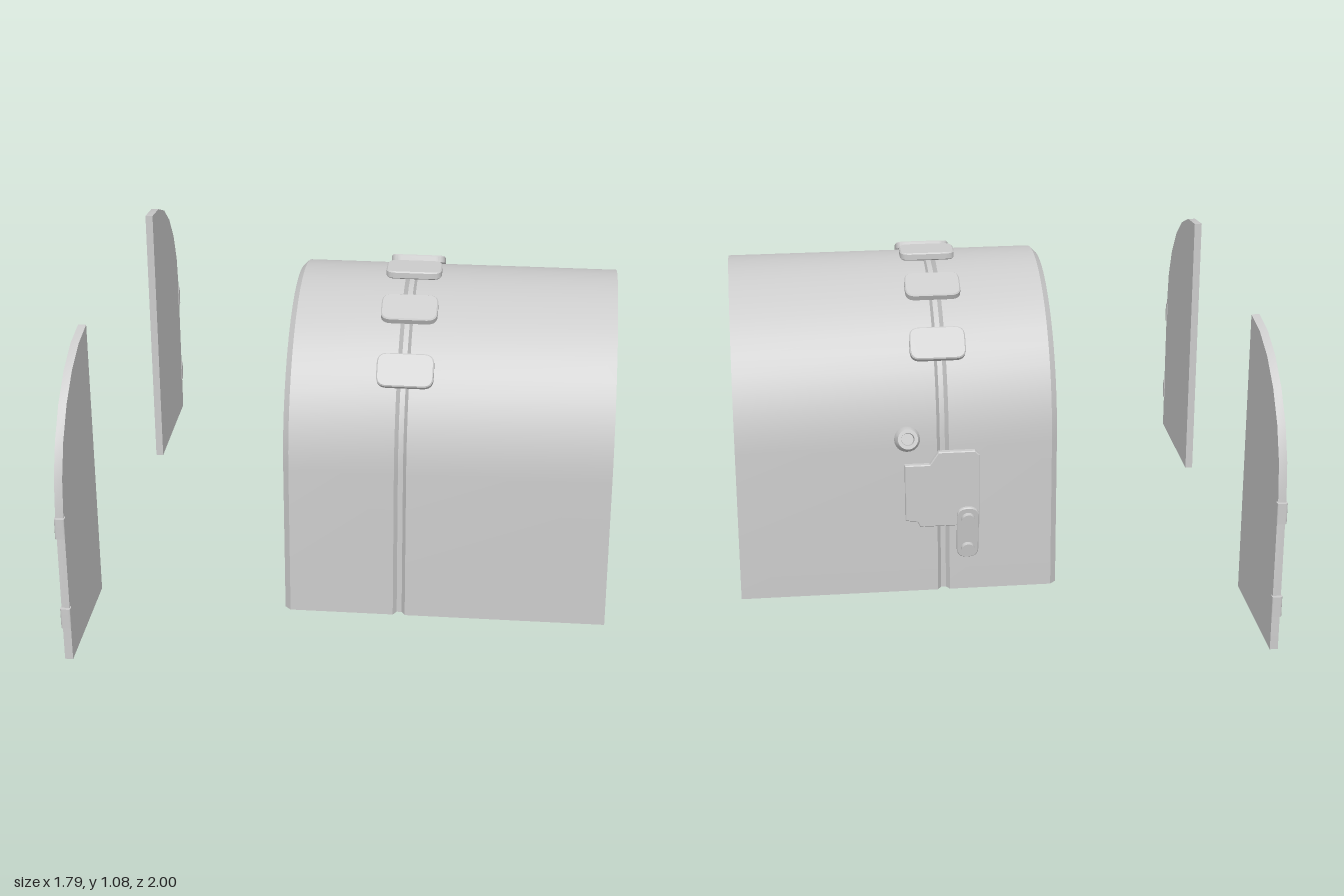
import * as THREE from 'three';
import { toCreasedNormals, mergeVertices } from 'three/addons/utils/BufferGeometryUtils.js';

const MAT = new THREE.MeshStandardMaterial({ color: 0xcccccc });
const THIN = new THREE.MeshStandardMaterial({ color: 0xcccccc, side: THREE.DoubleSide });
const CZ = 0.0875, CY = 0.5375, R = 0.5175; // arch centre and outer radius

function add(parent, name, geo, x = 0, y = 0, z = 0, mat = MAT) {
  const m = new THREE.Mesh(geo, mat);
  m.name = name;
  m.position.set(x, y, z);
  parent.add(m);
  return m;
}

function extrude(shape, depth, bevel = 0, curveSegments = 6) {
  const g = new THREE.ExtrudeGeometry(shape, {
    depth: depth - 2 * bevel, curveSegments, bevelEnabled: bevel > 0,
    bevelSize: bevel, bevelThickness: bevel, bevelOffset: -bevel, bevelSegments: 1,
  });
  g.translate(0, 0, bevel);
  return toCreasedNormals(g, 0.5);
}

function roundedRect(w, h, r) {
  const s = new THREE.Shape(), x = w / 2, y = h / 2;
  s.moveTo(-x + r, -y);
  s.lineTo(x - r, -y).quadraticCurveTo(x, -y, x, -y + r);
  s.lineTo(x, y - r).quadraticCurveTo(x, y, x - r, y);
  s.lineTo(-x + r, y).quadraticCurveTo(-x, y, -x, y - r);
  s.lineTo(-x, -y + r).quadraticCurveTo(-x, -y, -x + r, -y);
  return s;
}

// Sweeps an (x, radius) section up the front, over the arch and down the back
function archSweep(section, segments = 24) {
  const pos = [], idx = [], n = section.length;
  for (let i = 0; i <= segments + 2; i++) {
    const a = (Math.min(Math.max(i - 1, 0), segments) / segments) * Math.PI;
    const ground = i === 0 || i === segments + 2;
    for (const [x, r] of section)
      pos.push(x, ground ? 0 : CY + r * Math.sin(a), CZ + r * Math.cos(a));
  }
  for (let i = 0; i < segments + 2; i++)
    for (let j = 0; j < n; j++) {
      const a = i * n + j, b = i * n + (j + 1) % n;
      idx.push(a, b, b + n, a, b + n, a + n);
    }
  // feet of the arch
  const last = (segments + 2) * n;
  const tris = THREE.ShapeUtils.triangulateShape(section.map(p => new THREE.Vector2(...p)), []);
  for (const [a, b, c] of tris) idx.push(a, b, c, last + a, last + c, last + b);
  const g = new THREE.BufferGeometry();
  g.setAttribute('position', new THREE.Float32BufferAttribute(pos, 3));
  g.setIndex(idx);
  return toCreasedNormals(g, 0.4);
}

// Quarter-arch door leaf; side is +1 or -1 along z
function makeDoor(side, x0) {
  const door = new THREE.Group();
  door.name = side > 0 ? 'frontDoor' : 'backDoor';
  const t = 0.027, inner = 0.523, r = 0.465;
  const s = new THREE.Shape();
  s.moveTo(side * inner, 0);
  s.lineTo(side * (inner + r), 0);
  for (let i = 0; i <= 6; i++) {
    const a = (i / 6) * Math.PI / 2;
    s.lineTo(side * (inner + r * Math.cos(a)), 0.54 + r * Math.sin(a));
  }
  const leaf = extrude(s, t);
  leaf.rotateY(-Math.PI / 2);
  add(door, 'doorLeaf', leaf, x0 + t);
  // hinges on the outer edge
  for (const y of [0.16, 0.493]) {
    const hinge = extrude(roundedRect(0.034, 0.025, 0.008), 0.072);
    hinge.rotateX(-Math.PI / 2);
    add(door, 'hinge', hinge, x0 + t / 2, y - 0.036, side * 0.9875);
  }
  // round handle near the meeting edge
  const ring = new THREE.TorusGeometry(0.021, 0.006, 8, 20);
  ring.rotateY(Math.PI / 2);
  add(door, 'handleRing', ring, x0, 0.38, side * 0.615);
  const knob = new THREE.CylinderGeometry(0.012, 0.014, 0.01, 16);
  knob.rotateZ(Math.PI / 2);
  add(door, 'handleKnob', knob, x0 - 0.003, 0.38, side * 0.615);
  return door;
}

export function createModel() {
  const model = new THREE.Group();
  model.name = 'archedShelter';

  // Vaulted shell: bevelled open mouth, recessed seam, hollow underside
  const inner = R - 0.045;
  add(model, 'vault', archSweep([
    [-0.205, R - 0.02], [-0.185, R], [0.168, R], [0.18, R - 0.02],
    [0.197, R - 0.02], [0.209, R], [0.89, R], [0.89, inner], [-0.205, inner],
  ]), 0, 0, 0, THIN);

  // Closed end wall
  const wall = new THREE.Shape();
  wall.moveTo(CZ - inner, 0);
  wall.lineTo(CZ + inner, 0);
  wall.lineTo(CZ + inner, CY);
  wall.absarc(CZ, CY, inner, 0, Math.PI, false);
  const wallGeo = extrude(wall, 0.04, 0, 24);
  wallGeo.rotateY(-Math.PI / 2);
  add(model, 'endWall', wallGeo, 0.89);

  // Straps bridging the seam over the arch
  const strapGeo = extrude(roundedRect(0.19, 0.115, 0.035), 0.027, 0.004);
  strapGeo.rotateX(-Math.PI / 2);
  for (let i = -2; i <= 2; i++) {
    const a = i * 0.445;
    const strap = add(model, 'strap', strapGeo, 0.195,
      CY + (R - 0.001) * Math.cos(a), CZ + (R - 0.001) * Math.sin(a));
    strap.rotation.x = a;
  }

  // Lock plate on the back
  const back = CZ - R;
  const plate = new THREE.Shape();
  [[0.065, 0.25], [0.27, 0.25], [0.28, 0.27], [0.32, 0.275], [0.32, 0.48], [0.235, 0.48],
    [0.205, 0.525], [0.08, 0.525], [0.065, 0.51]]
    .forEach(([x, y], i) => (i ? plate.lineTo(x, y) : plate.moveTo(x, y)));
  add(model, 'lockPlate', extrude(plate, 0.022, 0.003), 0, 0, back - 0.019);

  // Tilted latch bar with two rivets
  const latch = new THREE.Group();
  latch.name = 'latch';
  latch.position.set(0.108, 0.23, back - 0.03);
  latch.rotation.x = -0.14;
  add(latch, 'latchBar', extrude(roundedRect(0.075, 0.2, 0.036), 0.014, 0.003), 0, 0, -0.007);
  for (const y of [-0.06, 0.058]) {
    const rivet = new THREE.CylinderGeometry(0.023, 0.023, 0.024, 20);
    rivet.rotateX(Math.PI / 2);
    add(latch, 'rivet', rivet, 0, y, -0.012);
  }
  model.add(latch);

  // Flared spout with a recessed bore
  const spout = new THREE.LatheGeometry(
    [[0.045, -0.03], [0.042, 0.02], [0.034, 0.038], [0.022, 0.038], [0.02, 0.015], [0, 0.015]]
      .map(p => new THREE.Vector2(...p)), 24);
  const spoutMesh = add(model, 'spout', toCreasedNormals(mergeVertices(spout), 0.5),
    0.31, 0.575, back - 0.008, THIN);
  spoutMesh.rotation.x = -Math.PI / 2 + 0.35;

  // Detached pair of doors standing clear of the mouth
  model.add(makeDoor(1, -0.889), makeDoor(-1, -0.862));
  return model;
}
